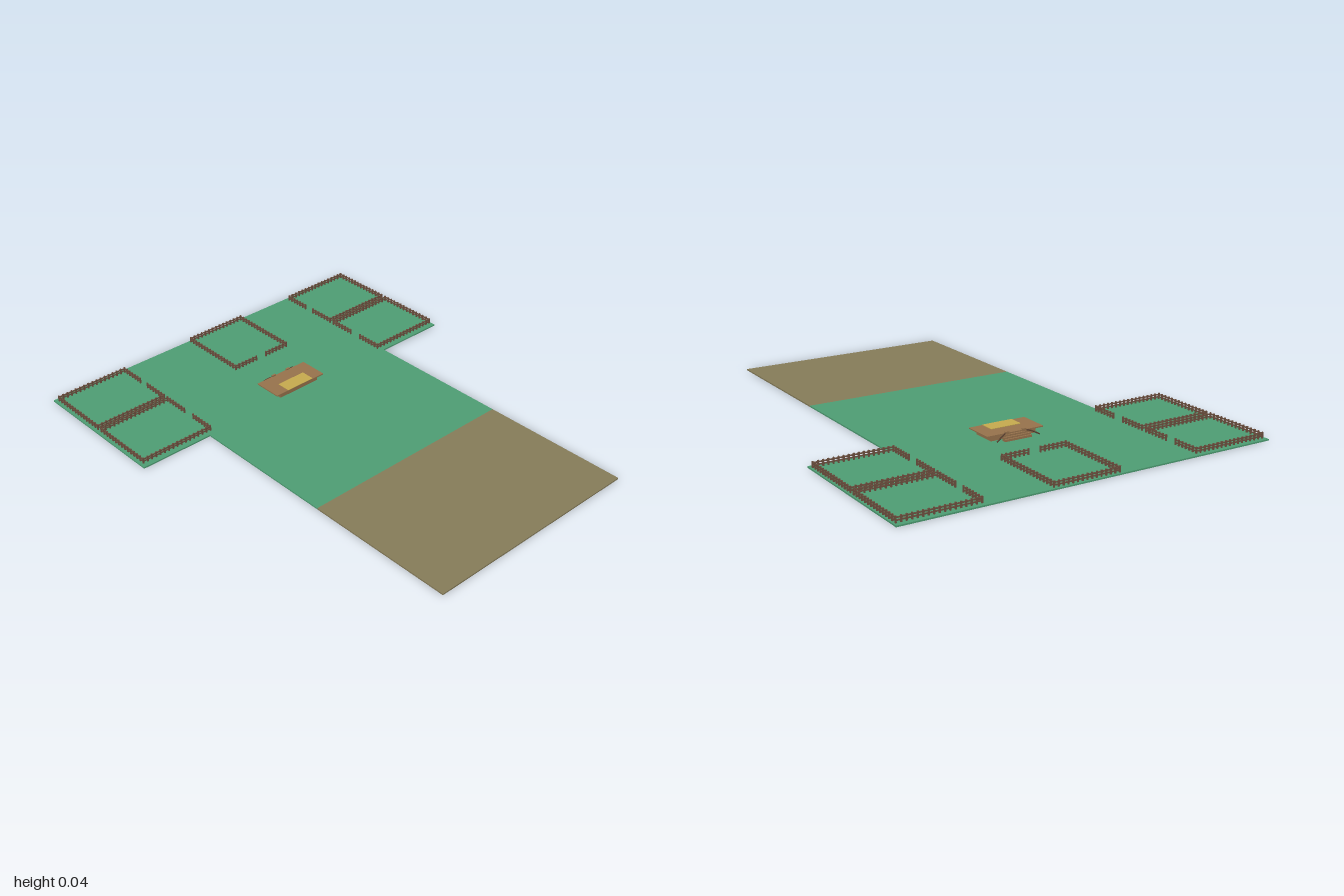
import * as THREE from 'three';
import { mergeGeometries } from 'three/addons/utils/BufferGeometryUtils.js';

const mat = (name, color) => {
  const m = new THREE.MeshStandardMaterial({ color });
  m.name = name;
  return m;
};

// Box from min and max on each axis
function boxGeo(x0, x1, y0, y1, z0, z1) {
  const g = new THREE.BoxGeometry(x1 - x0, y1 - y0, z1 - z0);
  g.translate((x0 + x1) / 2, (y0 + y1) / 2, (z0 + z1) / 2);
  return g;
}

const GROUND = 0.006;

// Straight run of fence: posts with two rails
function fenceRun(x0, z0, x1, z1) {
  const parts = [];
  const len = Math.hypot(x1 - x0, z1 - z0);
  const n = Math.max(1, Math.round(len / 0.021));
  for (let i = 0; i <= n; i++) {
    const x = x0 + ((x1 - x0) * i) / n, z = z0 + ((z1 - z0) * i) / n;
    parts.push(boxGeo(x - 0.003, x + 0.003, GROUND, 0.032, z - 0.003, z + 0.003));
  }
  for (const y of [0.013, 0.023]) {
    parts.push(boxGeo(Math.min(x0, x1) - 0.002, Math.max(x0, x1) + 0.002, y, y + 0.005,
      Math.min(z0, z1) - 0.002, Math.max(z0, z1) + 0.002));
  }
  return parts;
}

export function createModel() {
  const group = new THREE.Group();
  const grass = mat('grass green', 0x4f9f74);
  const dirt = mat('dirt path', 0x877d5a);
  const fenceWood = mat('fence wood', 0x6e5140);
  const stageWood = mat('stage wood', 0x98734c);
  const carpet = mat('yellow carpet', 0xc8ac4f);
  const railWood = mat('dark rail wood', 0x5a4030);

  const add = (name, geo, material) => {
    const mesh = new THREE.Mesh(geo, material);
    mesh.name = name;
    group.add(mesh);
    return mesh;
  };

  // Ground slabs in a T plan
  add('wideLawn', boxGeo(-0.833, 0.833, 0, GROUND, -1, -0.335), grass);
  add('middleLawn', boxGeo(-0.5, 0.5, 0, GROUND, -0.335, 0.333), grass);
  add('dirtField', boxGeo(-0.5, 0.5, 0, GROUND, 0.333, 1), dirt);

  // Side pens: each opens toward the middle
  for (const side of [-1, 1]) {
    const xi = side < 0 ? -0.478 : 0.485, xo = side < 0 ? -0.817 : 0.823;
    for (const [z0, g0, g1, z1] of [[-0.979, -0.86, -0.805, -0.684], [-0.659, -0.54, -0.477, -0.361]]) {
      add('sidePen', mergeGeometries([
        ...fenceRun(xo, z0, xi, z0),
        ...fenceRun(xo, z1, xi, z1),
        ...fenceRun(xo, z0, xo, z1),
        ...fenceRun(xi, z0, xi, g0),
        ...fenceRun(xi, g1, xi, z1),
      ]), fenceWood);
    }
  }

  // Back pen: opens toward the front
  add('backPen', mergeGeometries([
    ...fenceRun(-0.104, -0.988, 0.19, -0.988),
    ...fenceRun(-0.104, -0.988, -0.104, -0.658),
    ...fenceRun(0.19, -0.988, 0.19, -0.658),
    ...fenceRun(-0.104, -0.658, 0.014, -0.658),
    ...fenceRun(0.07, -0.658, 0.19, -0.658),
  ]), fenceWood);

  // Stage with overhanging deck
  add('stageBase', boxGeo(-0.105, 0.105, GROUND, 0.029, -0.455, -0.35), stageWood);
  add('stageDeck', boxGeo(-0.132, 0.132, 0.029, 0.034, -0.47, -0.338), stageWood);
  add('stageCarpet', boxGeo(-0.07, 0.07, 0.034, 0.036, -0.403, -0.338), carpet);

  // Steps behind the stage
  for (let i = 0; i < 3; i++) {
    add('rearStep', boxGeo(-0.062, 0.062, GROUND, 0.029 - i * 0.007,
      -0.478 - i * 0.007, -0.47 - i * 0.007), stageWood);
  }

  // Flared stair rails with raised end posts
  for (const s of [-1, 1]) {
    const curve = new THREE.QuadraticBezierCurve3(
      new THREE.Vector3(s * 0.045, 0.033, -0.468),
      new THREE.Vector3(s * 0.07, 0.03, -0.482),
      new THREE.Vector3(s * 0.1, 0.011, -0.49));
    add('stairRail', new THREE.TubeGeometry(curve, 8, 0.003, 5), railWood);
    add('railPost', boxGeo(s * 0.04 - 0.009, s * 0.04 + 0.009, 0.029, 0.04, -0.474, -0.466), stageWood);
  }
  return group;
}
